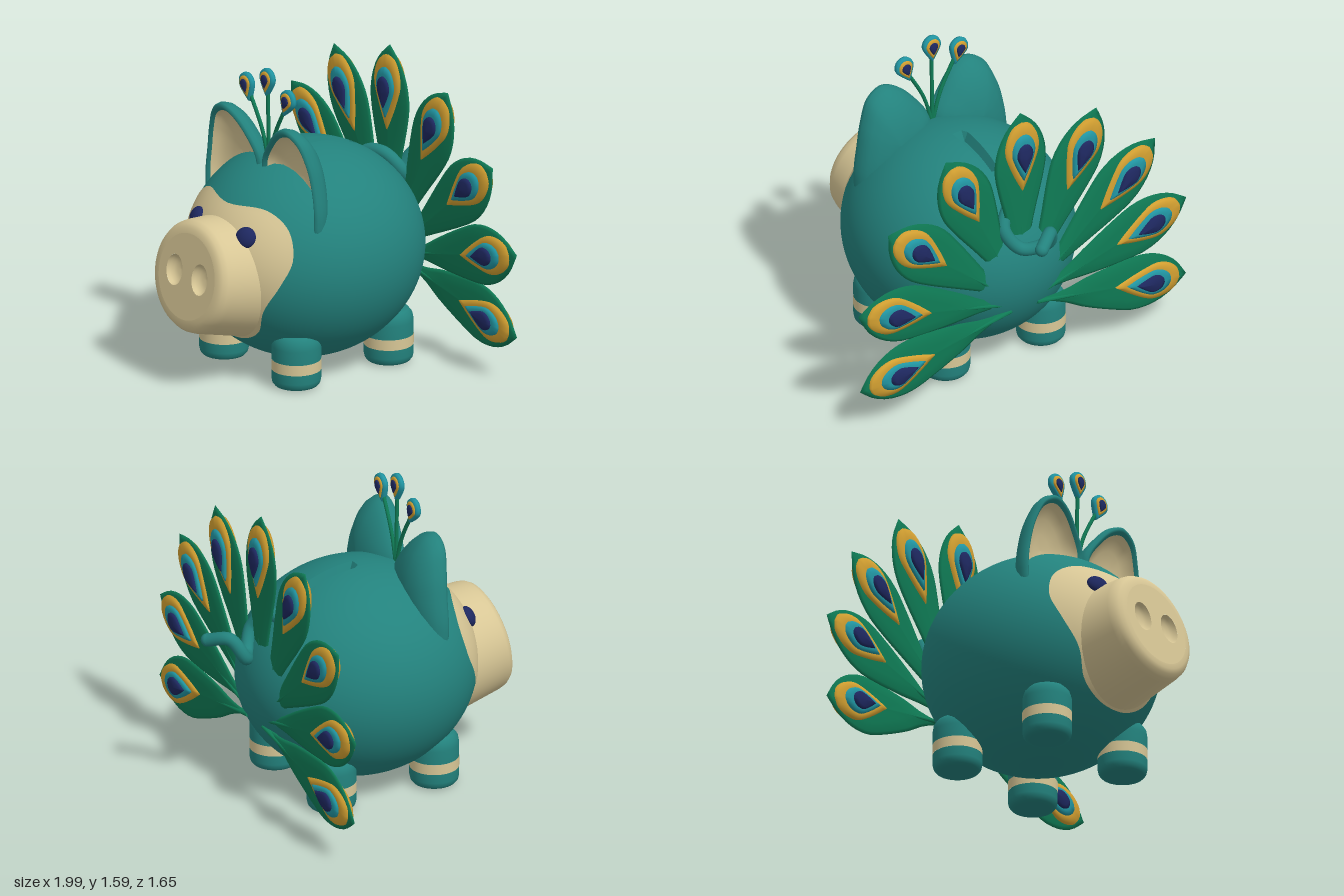
import * as THREE from 'three';
import { toCreasedNormals } from 'three/addons/utils/BufferGeometryUtils.js';

const V2 = (x, y) => new THREE.Vector2(x, y);
const V3 = (x, y, z) => new THREE.Vector3(x, y, z);
const mat = (name, color) => Object.assign(new THREE.MeshStandardMaterial({ color }), { name });

// Body ellipsoid: centre and radii
const C = V3(0, 0.595, 0.02), R = V3(0.575, 0.555, 0.62);

// Surface made of scaled copies of an anticlockwise outline; rings are [scale, z]
function rings(outline, c, list, zRule = (x, y, z) => z) {
  const pos = [], idx = [], n = outline.length;
  for (const [s, z] of list) for (const p of outline) {
    const x = c.x + (p.x - c.x) * s, y = c.y + (p.y - c.y) * s;
    pos.push(x, y, zRule(x, y, z));
  }
  for (let k = 0; k < list.length - 1; k++) for (let i = 0; i < n; i++) {
    const a = k * n + i, b = k * n + (i + 1) % n;
    idx.push(a, b, b + n, a, b + n, a + n);
  }
  const g = new THREE.BufferGeometry();
  g.setAttribute('position', new THREE.Float32BufferAttribute(pos, 3));
  g.setIndex(idx);
  g.computeVertexNormals();
  return g;
}

// Two-sided plate from a half profile of [scale, height]
const plate = (outline, c, profile) =>
  rings(outline, c, [...profile.map(([s, z]) => [s, -z]), [1, 0], ...profile.slice().reverse()]);

// Smooth outline mirrored about the y axis, from its right half (base to tip)
function mirrored(half) {
  const right = new THREE.SplineCurve(half.map(p => V2(...p))).getPoints(18);
  return [...right, ...right.slice(1, -1).reverse().map(p => V2(-p.x, p.y))];
}

function closedOutline(pts, count) {
  const curve = new THREE.CatmullRomCurve3(pts.map(p => V3(p[0], p[1], 0)), true);
  return curve.getPoints(count).slice(0, -1).map(p => V2(p.x, p.y));
}

const DROP = [[0, -0.5], [0.27, -0.22], [0.48, 0.08], [0.43, 0.3], [0.24, 0.45], [0, 0.5]];
function drop(w, h, depth) {
  const outline = mirrored(DROP.map(([x, y]) => [x * w, y * h]));
  return plate(outline, V2(0, 0), [[0, depth], [0.7, 0.95 * depth], [0.95, 0.8 * depth]]);
}

export function createModel() {
  const root = new THREE.Group();
  root.name = 'peacockPiggyBank';
  const teal = mat('teal', 0x23827d), cream = mat('cream', 0xd8c796), gold = mat('gold', 0xd3a031);
  const aqua = mat('aqua', 0x2196a3), navy = mat('navy', 0x1e2860), green = mat('green', 0x0f7b55);
  const add = (parent, name, geo, material, x = 0, y = 0, z = 0) => {
    const m = new THREE.Mesh(geo, material);
    m.name = name;
    m.position.set(x, y, z);
    parent.add(m);
    return m;
  };
  const group = (parent, name, x, y, z) => {
    const g = new THREE.Group();
    g.name = name;
    g.position.set(x, y, z);
    parent.add(g);
    return g;
  };

  // Body with the coin slot pressed into the top
  const body = new THREE.SphereGeometry(1, 192, 72);
  body.rotateX(Math.PI / 2);
  body.scale(R.x, R.y, R.z);
  body.translate(C.x, C.y, C.z);
  const bp = body.attributes.position;
  for (let i = 0; i < bp.count; i++) {
    const z = bp.getZ(i);
    if (Math.abs(bp.getX(i)) < 0.03 && bp.getY(i) > 1 && z > -0.285 && z < 0.01) bp.setY(i, bp.getY(i) - 0.05);
  }
  add(root, 'body', toCreasedNormals(body, 0.5), teal);

  // Face mask lying on the body
  const sidePts = [[0.12, 0.24], [0.23, 0.31], [0.3, 0.44], [0.385, 0.59], [0.417, 0.72], [0.36, 0.86], [0.23, 0.94]];
  const maskPts = [[0, 0.22], ...sidePts, [0, 0.935], ...sidePts.slice().reverse().map(([x, y]) => [-x, y])];
  const maskRings = Array.from({ length: 17 }, (_, i) => [1 - i / 16, 0]);
  const onBody = (x, y) =>
    C.z + 1.005 * R.z * Math.sqrt(Math.max(0, 1 - ((x / R.x) ** 2 + ((y - C.y) / R.y) ** 2) / 1.01));
  add(root, 'faceMask', rings(closedOutline(maskPts, 96), V2(0, 0.62), maskRings, onBody), cream);

  // Snout, tilted slightly up, with hollow nostrils
  const snout = group(root, 'snout', 0, 0.54, 0.42);
  snout.rotation.x = -0.166;
  const side = [[0.32, 0], [0.291, 0.29], [0.284, 0.322], [0.268, 0.345], [0.245, 0.357], [0.22, 0.36]];
  add(snout, 'snoutSide', new THREE.LatheGeometry(side.map(p => V2(...p)), 64).rotateX(Math.PI / 2), cream);
  const disc = new THREE.Shape().absarc(0, 0, 0.22, 0, Math.PI * 2);
  for (const s of [-1, 1]) {
    disc.holes.push(new THREE.Path().absellipse(s * 0.1, 0.01, 0.062, 0.08, 0, Math.PI * 2, true));
    const bowl = [[1, 0], [0.92, -0.02], [0.7, -0.035], [0.4, -0.043], [0, -0.045]];
    const g = new THREE.LatheGeometry(bowl.map(p => V2(...p)), 32).rotateX(Math.PI / 2);
    add(snout, 'nostril', g.scale(0.062, 0.08, 1), cream, s * 0.1, 0.01, 0.36);
  }
  add(snout, 'snoutFront', new THREE.ShapeGeometry(disc, 48), cream, 0, 0, 0.36);

  // Eyes, flattened along the body surface
  for (const s of [-1, 1]) {
    const eye = add(root, 'eye', new THREE.SphereGeometry(1, 32, 20), navy, s * 0.195, 0.813, 0.553);
    eye.scale.set(0.056, 0.054, 0.034);
    eye.lookAt(V3(s * 0.195, 0.813, 0.553).add(V3(s * 0.59, 0.7, 1.39)));
  }

  // Cupped ears with cream insides
  const earPts = [[0.43, 0.8], [0.452, 0.9], [0.43, 1.08], [0.4, 1.2], [0.345, 1.31], [0.257, 1.353], [0.17, 1.325],
    [0.085, 1.245], [0.005, 1.115], [0.03, 0.95], [0.2, 0.8]];
  const lean = (x, y, z) => 0.295 + z + 0.4 * Math.max(0, y - 1) ** 2;
  for (const s of [-1, 1]) {
    const outline = closedOutline(s > 0 ? earPts : earPts.map(([x, y]) => [-x, y]).reverse(), 72);
    const c = V2(s * 0.25, 1.08), ear = group(root, s > 0 ? 'leftEar' : 'rightEar', 0, 0, 0);
    const shell = [[0, -0.14], [0.35, -0.135], [0.65, -0.115], [0.85, -0.085], [0.95, -0.058], [1, -0.025],
      [0.985, -0.003], [0.94, 0.01], [0.89, 0.008], [0.84, -0.005]];
    add(ear, 'earShell', rings(outline, c, shell, lean), teal);
    add(ear, 'earInside', rings(outline, c, [[0.84, -0.005], [0.78, -0.035], [0.6, -0.06], [0.3, -0.07], [0, -0.072]], lean), cream);
  }

  // Legs with a cream band
  const lathe = pts => new THREE.LatheGeometry(pts.map(p => V2(...p)), 40);
  const foot = lathe([[0, 0], [0.088, 0], [0.108, 0.006], [0.12, 0.02], [0.125, 0.042], [0.125, 0.09]]);
  const band = lathe([[0.1255, 0.09], [0.1255, 0.145]]);
  const upper = lathe([[0.125, 0.145], [0.125, 0.215], [0.119, 0.25], [0.1, 0.275], [0.075, 0.285], [0, 0.287]]);
  for (const x of [-0.29, 0.29]) for (const z of [0.305, -0.285]) {
    const leg = group(root, z > 0 ? 'frontLeg' : 'backLeg', x, 0, z);
    add(leg, 'foot', foot, teal);
    add(leg, 'legBand', band, cream);
    add(leg, 'upperLeg', upper, teal);
  }

  // Curly tail
  const tailPath = new THREE.CatmullRomCurve3([[-0.11, 0.9, -0.4], [-0.09, 0.965, -0.44], [0.02, 0.98, -0.47],
    [0.1, 0.89, -0.525], [0.035, 0.785, -0.59], [-0.075, 0.82, -0.66], [-0.04, 0.92, -0.725], [0.06, 0.895, -0.8]]
    .map(p => V3(...p)));
  add(root, 'tail', new THREE.TubeGeometry(tailPath, 80, 0.034, 16), teal);
  add(root, 'tailTip', new THREE.SphereGeometry(0.034, 16, 12), teal, 0.06, 0.895, -0.8);

  // Fan of nine feathers, each with a layered eye spot on both sides
  const spots = [['goldSpot', gold, 0.21, 0.41, 0.03, 0], ['aquaSpot', aqua, 0.145, 0.28, 0.045, 0.003],
    ['navySpot', navy, 0.1, 0.175, 0.06, 0.005]].map(([n, m, w, h, d, y]) => [n, m, drop(w, h, d), y]);
  for (let k = -4; k <= 4; k++) {
    const a = Math.abs(k), L = 1.11 - 0.026 * a;
    const f = group(root, 'feather', 0, 0.43, -0.524 - 0.006 * a);
    f.rotation.z = -k * THREE.MathUtils.degToRad(25);
    const blade = mirrored([[0, 0.08], [0.035, 0.25], [0.085, L - 0.62], [0.132, L - 0.44], [0.156, L - 0.3],
      [0.138, L - 0.18], [0.085, L - 0.08], [0, L]]);
    add(f, 'featherBlade', plate(blade, V2(0, L - 0.32), [[0, 0.018], [0.6, 0.016], [0.9, 0.009]]), green);
    add(f, 'quill', new THREE.CylinderGeometry(0.007, 0.012, L - 0.5, 8), green, 0, (L - 0.5) / 2 + 0.08, 0)
      .scale.z = 2;
    for (const [n, m, g, y] of spots) add(f, n, g, m, 0, L - 0.252 + y, 0);
  }

  // Head crest of three small plumes
  const tips = [['crestAqua', aqua, 0.108, 0.15, 0.016, 0], ['crestGold', gold, 0.084, 0.115, 0.023, 0.004],
    ['crestNavy', navy, 0.054, 0.075, 0.031, 0.007]].map(([n, m, w, h, d, y]) => [n, m, drop(w, h, d), y]);
  for (const s of [-1, 0, 1]) {
    const head = V3(s * 0.16, s ? 1.45 : 1.518, 0.258);
    const stem = new THREE.CatmullRomCurve3([V3(0, 1.08, 0.25), V3(s * 0.05, 1.25, 0.252), head]);
    add(root, 'crestStem', new THREE.TubeGeometry(stem, 16, 0.01, 8), green);
    const plume = group(root, 'crestPlume', head.x, head.y, head.z);
    plume.rotation.z = -s * 0.3;
    for (const [n, m, g, y] of tips) add(plume, n, g, m, 0, y, 0);
  }
  return root;
}
